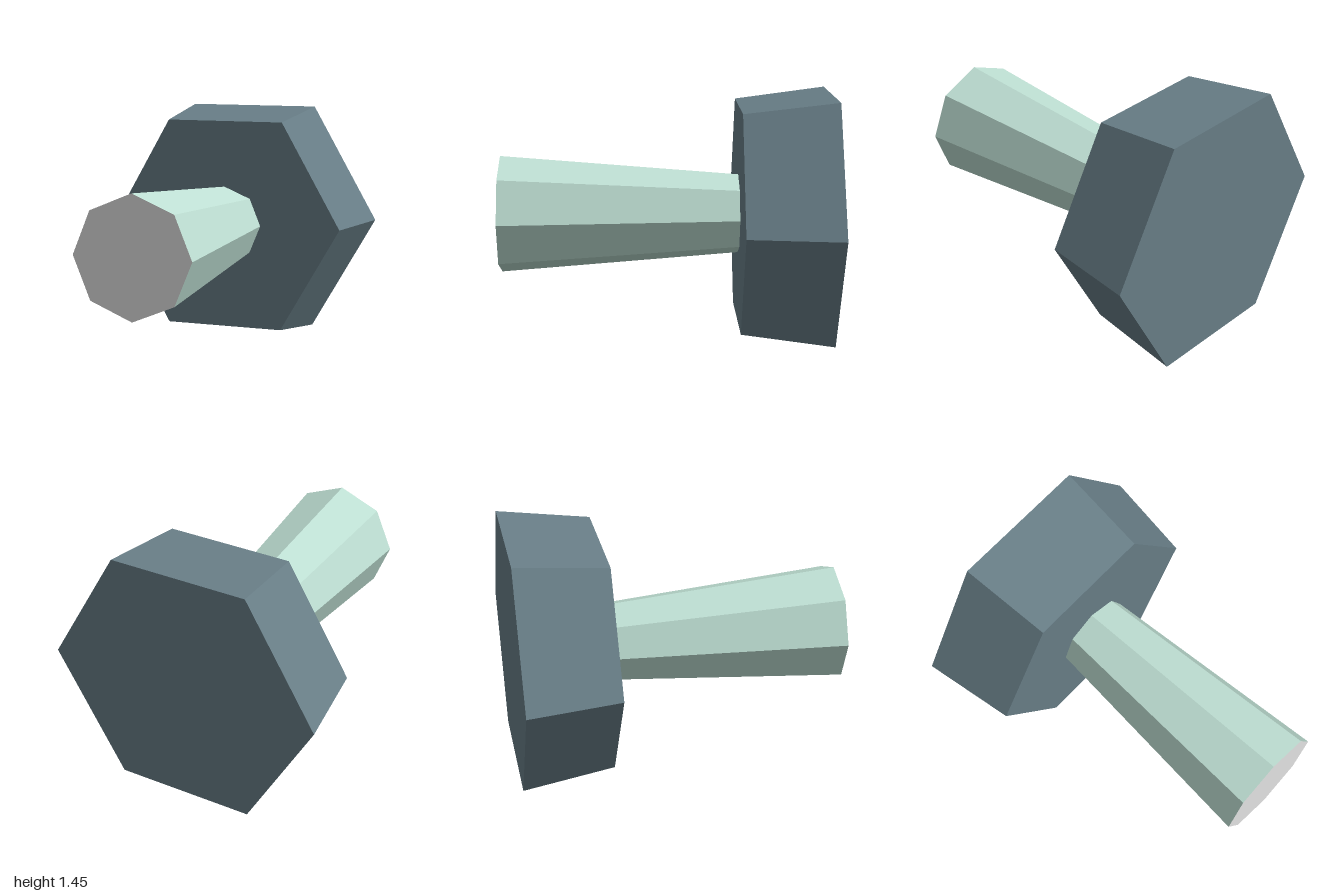
import * as THREE from 'three';

const CENTRE_Y = 0.7275;

// Tapered prism along z with a corner pointing to +x
function prism(name, frontRadius, backRadius, frontZ, backZ, sides, materials) {
  const geometry = new THREE.CylinderGeometry(
    frontRadius, backRadius, frontZ - backZ, sides, 1, false, Math.PI / 2);
  geometry.rotateX(Math.PI / 2);
  // Separate face normals keep every side flat
  const flat = geometry.toNonIndexed();
  flat.computeVertexNormals();
  const mesh = new THREE.Mesh(flat, materials);
  mesh.name = name;
  mesh.position.set(0, CENTRE_Y, (frontZ + backZ) / 2);
  return mesh;
}

export function createModel() {
  const darkMetal = new THREE.MeshStandardMaterial({ name: 'darkMetal', color: 0x697f88 });
  const paleMetal = new THREE.MeshStandardMaterial({ name: 'paleMetal', color: 0xbedfd3 });
  const whiteEnd = new THREE.MeshStandardMaterial({ name: 'whiteEnd', color: 0xffffff });

  const model = new THREE.Group();
  model.name = 'bolt';
  // Hexagonal head, wider at the back
  model.add(prism('head', 0.76, 0.84, -0.44, -1, 6, darkMetal));
  // Eight-sided shaft, widening to a white front end
  model.add(prism('shaft', 0.358, 0.242, 1, -0.44, 8, [paleMetal, whiteEnd, paleMetal]));
  return model;
}
